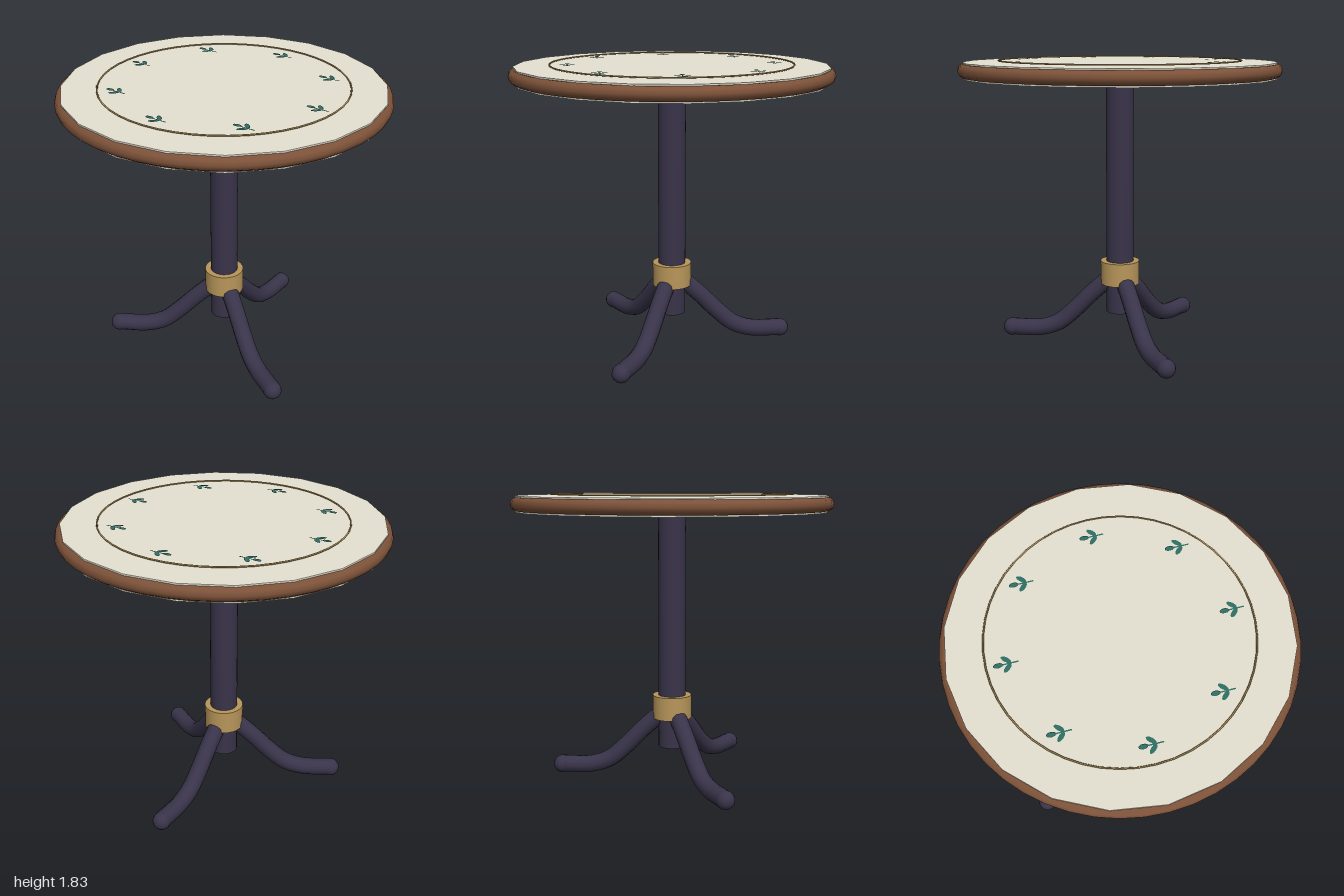
import * as THREE from 'three';

const material = (color) => new THREE.MeshStandardMaterial({ color });
const ivory = material(0xe6e2d2);
const wood = material(0x7d5239);
const iron = material(0x39344a);
const brass = material(0xb8965a);
const green = material(0x2f6f64);

function add(parent, name, geometry, mat, x = 0, y = 0, z = 0) {
  const mesh = new THREE.Mesh(geometry, mat);
  mesh.name = name;
  mesh.position.set(x, y, z);
  parent.add(mesh);
  return mesh;
}

// Flat ellipse lying face up
function leafShape(width, length) {
  const shape = new THREE.Shape();
  shape.absellipse(0, 0, width, length, 0, Math.PI * 2);
  return new THREE.ShapeGeometry(shape, 6).rotateX(-Math.PI / 2);
}

// Painted sprig: stem, bud and two side leaves
function createSprig() {
  const sprig = new THREE.Group();
  sprig.name = 'sprig';
  add(sprig, 'stem', new THREE.PlaneGeometry(0.008, 0.09).rotateX(-Math.PI / 2), green, 0, 0, 0.025);
  add(sprig, 'bud', leafShape(0.015, 0.027), green, 0, 0.002, -0.043);
  for (const side of [-1, 1]) {
    const leaf = add(sprig, 'leaf', leafShape(0.014, 0.032), green, side * 0.025, 0.001, 0.006);
    leaf.rotation.y = -side * 0.75;
  }
  return sprig;
}

// Curved leg running out along +x, with a rounded foot
function createLeg() {
  const leg = new THREE.Group();
  leg.name = 'leg';
  const path = new THREE.CatmullRomCurve3([
    [0.09, 0.4], [0.19, 0.308], [0.3, 0.196], [0.41, 0.104], [0.53, 0.064], [0.725, 0.06],
  ].map(([x, y]) => new THREE.Vector3(x, y, 0)));
  add(leg, 'legTube', new THREE.TubeGeometry(path, 28, 0.056, 12), iron);
  add(leg, 'legTop', new THREE.SphereGeometry(0.052, 12, 8), iron, 0.09, 0.4, 0);
  add(leg, 'foot', new THREE.SphereGeometry(0.058, 14, 10), iron, 0.725, 0.058, 0);
  return leg;
}

export function createModel() {
  const table = new THREE.Group();
  table.name = 'pedestalTable';

  // Tabletop with rounded rim and inlaid ring
  add(table, 'tabletop', new THREE.CylinderGeometry(0.97, 0.97, 0.1, 20), ivory, 0, 1.763, 0);
  add(table, 'rim', new THREE.TorusGeometry(0.957, 0.043, 10, 48).rotateX(Math.PI / 2), wood, 0, 1.763, 0);
  add(table, 'inlayRing', new THREE.TorusGeometry(0.75, 0.005, 6, 48).rotateX(Math.PI / 2), brass, 0, 1.822, 0);

  // Sprigs around the top, all facing the same way
  for (let i = 0; i < 8; i++) {
    const angle = (i * Math.PI) / 4;
    const sprig = createSprig();
    sprig.position.set(0.64 * Math.cos(angle), 1.818, 0.64 * Math.sin(angle));
    table.add(sprig);
  }

  // Post and collar
  add(table, 'post', new THREE.CylinderGeometry(0.0875, 0.0875, 1.5, 24), iron, 0, 0.95, 0);
  add(table, 'collar', new THREE.CylinderGeometry(0.125, 0.125, 0.15, 24), brass, 0, 0.465, 0);

  // Three legs
  for (let i = 0; i < 3; i++) {
    const leg = createLeg();
    leg.rotation.y = (i * Math.PI * 2) / 3;
    table.add(leg);
  }
  return table;
}
